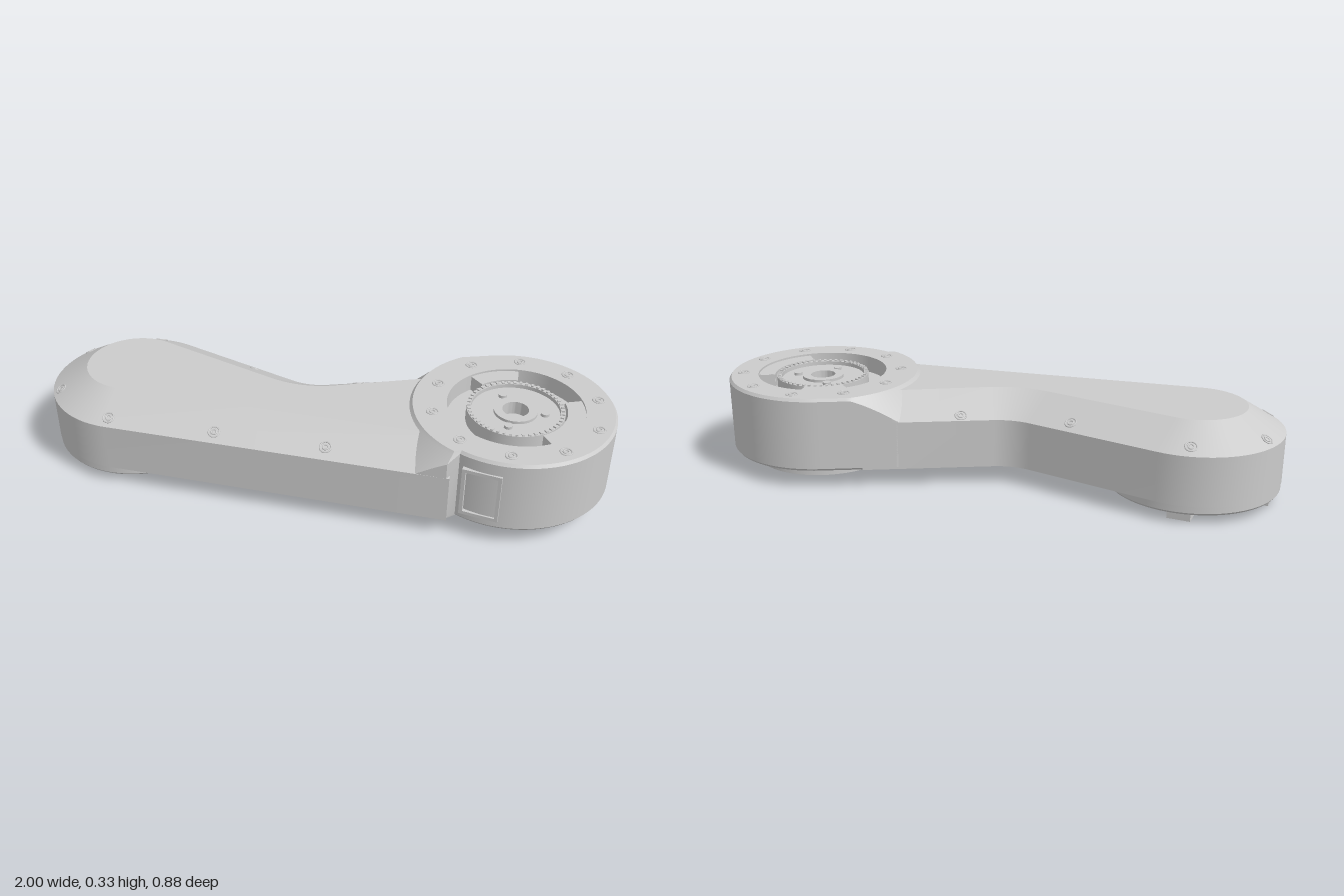
import * as THREE from 'three';
import { toCreasedNormals } from 'three/addons/utils/BufferGeometryUtils.js';

const mat = new THREE.MeshStandardMaterial({ color: 0xcccccc, side: THREE.DoubleSide });
const RAD = Math.PI / 180;
const LOBE = { x: -0.695, z: 0.13, r: 0.305 };
const DRUM = { x: 0.66, z: -0.102, r: 0.34 };
// directions (in the x-z plane) that the three straight walls face
const FRONT = 82, BACK1 = 279.6, BACK2 = 241.6;
const CHAMFER = 0.13, LOW = 0.24, TOP = 0.32;

const dir = (deg) => ({ x: Math.cos(deg * RAD), z: Math.sin(deg * RAD) });

function add(group, name, geometry, x = 0, y = 0, z = 0) {
  const mesh = new THREE.Mesh(geometry, mat);
  mesh.name = name;
  mesh.position.set(x, y, z);
  group.add(mesh);
  return mesh;
}

// Joins rings of [x, y, z] points, bottom to top on the outside
function loft(rings, closed = true, caps = false) {
  const pos = [], n = rings[0].length, last = closed ? n : n - 1;
  for (let j = 0; j < rings.length - 1; j++) {
    for (let i = 0; i < last; i++) {
      const k = (i + 1) % n;
      const a = rings[j][i], b = rings[j + 1][i], c = rings[j][k], d = rings[j + 1][k];
      pos.push(...a, ...b, ...c, ...b, ...d, ...c);
    }
  }
  if (caps) {
    [[rings[0], false], [rings[rings.length - 1], true]].forEach(([ring, up]) => {
      const pts = ring.map((p) => new THREE.Vector2(p[0], p[2]));
      for (const t of THREE.ShapeUtils.triangulateShape(pts, [])) {
        const area = THREE.ShapeUtils.area(t.map((i) => pts[i]));
        const order = (area < 0) === up ? t : [t[0], t[2], t[1]];
        order.forEach((i) => pos.push(...ring[i]));
      }
    });
  }
  const g = new THREE.BufferGeometry();
  g.setAttribute('position', new THREE.Float32BufferAttribute(pos, 3));
  return toCreasedNormals(g, 0.45);
}

// Turns a profile of [radius, y]; the profile may change with the angle
function revolve(profile, from = 0, to = 360, seg = 96) {
  const full = to - from === 360, columns = [];
  for (let i = 0; i < (full ? seg : seg + 1); i++) {
    const a = from + (to - from) * i / seg, d = dir(a);
    const p = typeof profile === 'function' ? profile(a) : profile;
    columns.push(p.map(([r, y]) => [r * d.x, y, r * d.z]));
  }
  return loft(columns[0].map((_, j) => columns.map((c) => c[j])), full);
}

// Plan outline of the arm, each point with its outward direction
function armOutline() {
  const pts = [];
  const put = (x, z, n) => pts.push({ x, z, nx: n.x, nz: n.z });
  for (let i = 0; i <= 40; i++) {
    const n = dir(FRONT + (BACK1 - FRONT) * i / 40);
    put(LOBE.x + LOBE.r * n.x, LOBE.z + LOBE.r * n.z, n);
  }
  // concave bend between the two back walls
  const R = 0.2, a = dir(BACK1), b = dir(BACK2);
  const ka = a.x * LOBE.x + a.z * LOBE.z + LOBE.r + R;
  const kb = b.x * DRUM.x + b.z * DRUM.z + DRUM.r + R;
  const det = a.x * b.z - a.z * b.x;
  const qx = (ka * b.z - a.z * kb) / det, qz = (a.x * kb - ka * b.x) / det;
  for (let i = 0; i <= 10; i++) {
    const n = dir(BACK1 + (BACK2 - BACK1) * i / 10);
    put(qx - R * n.x, qz - R * n.z, n);
  }
  // end tucked inside the drum
  put(DRUM.x + DRUM.r * b.x + 0.15 * b.z, DRUM.z + DRUM.r * b.z - 0.15 * b.x, b);
  for (let t = 200; t >= 128; t -= 8) {
    const n = dir(t);
    put(DRUM.x + 0.3 * n.x, DRUM.z + 0.3 * n.z, { x: 0, z: 0 });
  }
  const f = dir(FRONT);
  put(DRUM.x + DRUM.r * f.x - 0.17 * f.z, DRUM.z + DRUM.r * f.z + 0.17 * f.x, f);
  return pts;
}

// Drum wall radius: round outside, running out along the arm walls
function wallRadius(a) {
  if (a > 108.6 && a <= 165) return DRUM.r / Math.max(0.2, Math.cos((a - FRONT) * RAD));
  if (a > 165 && a < BACK2) return DRUM.r / Math.max(0.2, Math.cos((BACK2 - a) * RAD));
  return DRUM.r;
}

function screwRing(group, name, x, y, z, normal) {
  const g = new THREE.Group();
  g.name = name;
  add(g, 'screwRim', new THREE.TorusGeometry(0.019, 0.003, 6, 20));
  add(g, 'screwHead', new THREE.TorusGeometry(0.009, 0.003, 6, 16));
  g.position.set(x, y, z);
  g.quaternion.setFromUnitVectors(new THREE.Vector3(0, 0, 1), normal.normalize());
  group.add(g);
}

export function createModel() {
  const model = new THREE.Group();
  model.name = 'robotArmLink';

  // Arm housing with the wide sloped upper edge
  const outline = armOutline();
  const ring = (d, y) => outline.map((p) => [p.x - d * p.nx, y, p.z - d * p.nz]);
  add(model, 'armHousing', loft([ring(0, 0.066), ring(0, LOW), ring(CHAMFER, TOP)], true, true));

  // Screws along the sloped edge
  const spots = [[-0.65, 0.4], [-0.27, 0.34], [0.115, 0.28], [-0.91, 0.305],
    [-0.955, 0.04], [-0.745, -0.135], [-0.315, -0.08], [0.07, -0.145]];
  for (const [x, z] of spots) {
    let best = null, inset = 9;
    outline.forEach((p, i) => {
      if (!p.nx) return;
      const q = outline[(i + 1) % outline.length];
      const l2 = (q.x - p.x) ** 2 + (q.z - p.z) ** 2;
      const t = THREE.MathUtils.clamp(((x - p.x) * (q.x - p.x) + (z - p.z) * (q.z - p.z)) / l2, 0, 1);
      const d = Math.hypot(x - p.x - t * (q.x - p.x), z - p.z - t * (q.z - p.z));
      if (d < inset) { inset = d; best = p; }
    });
    const slope = TOP - LOW;
    screwRing(model, 'armScrew', x, LOW + inset * slope / CHAMFER, z,
      new THREE.Vector3(best.nx * slope, CHAMFER, best.nz * slope));
  }

  // Joint drum with a conical run-out onto the arm
  const drum = new THREE.Group();
  drum.name = 'jointDrum';
  drum.position.set(DRUM.x, 0, DRUM.z);
  model.add(drum);
  add(drum, 'drumShell', revolve((a) => {
    const w = wallRadius(a), top = Math.min(0.36, w), low = Math.min(0.445, w);
    return [[0.2, 0.066], [low - 0.006, 0.066], [low, 0.074], [low, 0.322 - (low - top)],
      [top, 0.322], [top - 0.008, 0.332], [0.235, 0.332], [0.235, 0.27], [0.15, 0.27]];
  }, 0, 360, 144));

  // Raised pieces bridging the round trough
  for (const [from, to] of [[-32, 45], [-145, -102]]) {
    add(drum, 'troughBridge', revolve([[0.236, 0.27], [0.236, 0.325], [0.175, 0.325], [0.175, 0.27]], from, to, 20));
    for (const a of [from, to]) {
      const d = dir(a);
      const end = add(drum, 'bridgeEnd', new THREE.BoxGeometry(0.06, 0.054, 0.004), 0.206 * d.x, 0.297, 0.206 * d.z);
      end.rotation.y = -a * RAD;
    }
  }

  // Toothed output hub with a central bore
  add(drum, 'hub', revolve([[0.168, 0.27], [0.168, 0.322], [0.152, 0.322], [0.152, 0.308], [0.075, 0.308],
    [0.075, 0.318], [0.045, 0.318], [0.045, 0.27], [0, 0.27]], 0, 360, 64));
  for (let i = 0; i < 48; i++) {
    const d = dir(i * 7.5);
    const tooth = add(drum, 'hubTooth', new THREE.BoxGeometry(0.012, 0.006, 0.009), 0.16 * d.x, 0.324, 0.16 * d.z);
    tooth.rotation.y = -i * 7.5 * RAD;
  }
  for (const a of [-10, 90, 230]) {
    const d = dir(a);
    add(drum, 'hubPin', new THREE.CylinderGeometry(0.015, 0.015, 0.012, 16), 0.1 * d.x, 0.312, 0.1 * d.z);
  }
  for (let i = 0; i < 10; i++) {
    const d = dir(7 + 36 * i);
    screwRing(drum, 'drumScrew', 0.29 * d.x, 0.332, 0.29 * d.z, new THREE.Vector3(0, 1, 0));
  }

  // Window frame on the front of the drum, beside the arm
  const frame = new THREE.Group();
  frame.name = 'windowFrame';
  frame.position.set(-0.02, 0.19, 0.336);
  drum.add(frame);
  for (const s of [-1, 1]) {
    add(frame, 'frameSide', new THREE.BoxGeometry(0.012, 0.18, 0.02), s * 0.06, 0, 0);
    add(frame, 'frameRail', new THREE.BoxGeometry(0.132, 0.012, 0.02), 0, s * 0.085, 0);
  }

  // Base disc under the drum, notched on the outer side
  const disc = new THREE.Shape();
  disc.absarc(0, 0, 0.26, Math.asin(0.055 / 0.26), 2 * Math.PI - Math.asin(0.145 / 0.26), false);
  disc.lineTo(0.16, -0.145);
  disc.lineTo(0.16, 0.055);
  disc.closePath();
  const base = new THREE.ExtrudeGeometry(disc, { depth: 0.06, bevelEnabled: false, curveSegments: 64 });
  base.rotateX(Math.PI / 2);
  add(drum, 'baseDisc', toCreasedNormals(base, 0.45), 0, 0.078, 0);
  add(drum, 'connectorBlock', new THREE.BoxGeometry(0.06, 0.035, 0.1), 0.2, 0.056, -0.06);
  add(drum, 'connectorPlug', new THREE.BoxGeometry(0.05, 0.03, 0.035), 0.195, 0.04, -0.1);
  add(drum, 'baseLatch', new THREE.BoxGeometry(0.12, 0.025, 0.06), -0.255, 0.056, 0.02);

  // Stepped mounting flange under the far end
  add(model, 'mountingFlange', revolve([[0, 0.03], [0.035, 0.03], [0.035, 0.002], [0.075, 0.002], [0.075, 0.01],
    [0.14, 0.01], [0.14, 0.035], [0.298, 0.035], [0.303, 0.042], [0.303, 0.07]]), LOBE.x, 0, LOBE.z);
  for (let i = 0; i < 6; i++) {
    const d = dir(60 * i);
    add(model, 'flangeBolt', new THREE.CylinderGeometry(0.01, 0.01, 0.006, 12), LOBE.x + 0.1 * d.x, 0.009, LOBE.z + 0.1 * d.z);
  }
  // Stop tabs near the flange edge
  add(model, 'stopTabSide', new THREE.BoxGeometry(0.06, 0.04, 0.08), -0.942, 0.02, 0.13);
  add(model, 'stopTabBack', new THREE.BoxGeometry(0.08, 0.04, 0.07), -0.72, 0.02, -0.105);
  add(model, 'stopTabInner', new THREE.BoxGeometry(0.05, 0.02, 0.07), -0.37, 0.06, 0.02);
  return model;
}
